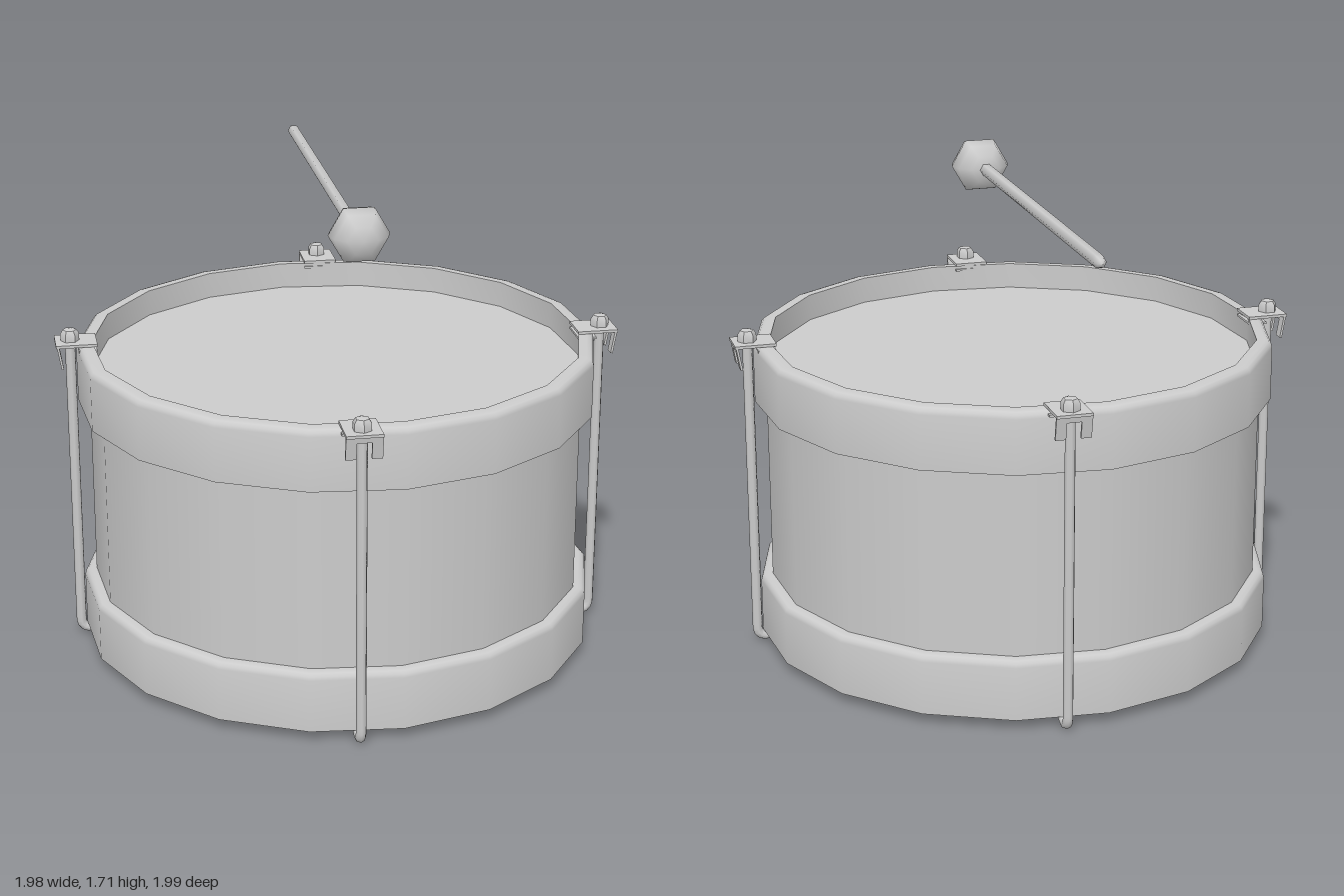
import * as THREE from 'three';
import { toCreasedNormals } from 'three/addons/utils/BufferGeometryUtils.js';

const SIDES = 18;
const TURN = THREE.MathUtils.degToRad(4.5);
const grey = new THREE.MeshStandardMaterial({ color: 0xcccccc });
const greyThin = new THREE.MeshStandardMaterial({ color: 0xcccccc, side: THREE.DoubleSide });

function add(parent, name, geometry, material = grey) {
  const mesh = new THREE.Mesh(geometry, material);
  mesh.name = name;
  parent.add(mesh);
  return mesh;
}

function lathe(points, sides, start = 0) {
  const profile = points.map(([r, y]) => new THREE.Vector2(r, y));
  return toCreasedNormals(new THREE.LatheGeometry(profile, sides, start), 0.65);
}

// Hoop with square lower edge and rounded upper edge
function hoopGeometry(y0, y1) {
  const outer = 0.92, inner = 0.865, b = 0.025;
  const points = [[inner, y0], [outer, y0]];
  for (let i = 0; i <= 3; i++) {
    const a = (i / 3) * Math.PI / 2;
    points.push([outer - b + b * Math.cos(a), y1 - b + b * Math.sin(a)]);
  }
  points.push([inner, y1], [inner, y0]);
  return lathe(points, SIDES, TURN);
}

// Tension rod with hook, nut and claw plate, built facing +z
function tensioner() {
  const group = new THREE.Group();
  group.name = 'tensioner';
  const R = 0.937, r = 0.018;

  // Rod, bent inwards under the lower hoop
  const path = new THREE.CurvePath();
  const v = (y, z) => new THREE.Vector3(0, y, z);
  path.add(new THREE.LineCurve3(v(1.15, R), v(0.06, R)));
  path.add(new THREE.QuadraticBezierCurve3(v(0.06, R), v(0.024, R), v(0.024, R - 0.035)));
  path.add(new THREE.LineCurve3(v(0.024, R - 0.035), v(0.035, R - 0.053)));
  add(group, 'rod', new THREE.TubeGeometry(path, 80, r, 8));
  add(group, 'rodEnd', new THREE.SphereGeometry(r, 8, 6)).position.set(0, 0.035, R - 0.053);

  // Claw plate: flat top with a short inner lip
  const top = add(group, 'clawTop', new THREE.BoxGeometry(0.122, 0.01, 0.145));
  top.position.set(0, 1.136, 0.917);
  const lip = add(group, 'clawLip', new THREE.BoxGeometry(0.122, 0.008, 0.065));
  lip.position.set(0, 1.115, 0.878);

  // Notched outer skirt, curling slightly inwards
  const shape = new THREE.Shape();
  [[-0.061, 0], [-0.061, -0.085], [-0.025, -0.085], [-0.025, -0.025],
    [0.025, -0.025], [0.025, -0.085], [0.061, -0.085], [0.061, 0]]
    .forEach(([x, y], i) => (i ? shape.lineTo(x, y) : shape.moveTo(x, y)));
  const skirtGeo = new THREE.ExtrudeGeometry(shape, { depth: 0.008, bevelEnabled: false });
  skirtGeo.rotateX(0.17);
  add(group, 'clawSkirt', skirtGeo).position.set(0, 1.138, 0.979);

  // Hexagonal nut with a domed tip
  const nut = add(group, 'nut', lathe(
    [[0, 0], [0.033, 0], [0.033, 0.026], [0.024, 0.04], [0, 0.046]], 6));
  nut.position.set(0, 1.14, R);
  return group;
}

export function createModel() {
  const model = new THREE.Group();
  model.name = 'drum';

  // Shell and the two recessed heads
  const shell = add(model, 'shell',
    new THREE.CylinderGeometry(0.878, 0.878, 0.88, SIDES, 1, true, TURN), greyThin);
  shell.position.y = 0.59;
  for (const [name, y] of [['topHead', 1.03], ['bottomHead', 0.15]]) {
    const head = add(model, name,
      toCreasedNormals(new THREE.CylinderGeometry(0.872, 0.872, 0.01, SIDES, 1, false, TURN), 0.65));
    head.position.y = y;
  }

  // Hoops
  add(model, 'topHoop', hoopGeometry(0.915, 1.13));
  add(model, 'bottomHoop', hoopGeometry(0.045, 0.26));

  // Four tensioners, each set a little off the axis
  for (let i = 0; i < 4; i++) {
    const pivot = new THREE.Group();
    pivot.name = 'tensionerMount' + (i + 1);
    const t = tensioner();
    t.position.x = -0.081;
    pivot.add(t);
    pivot.rotation.y = i * Math.PI / 2;
    model.add(pivot);
  }

  // Beater floating above the drum: six-sided stick and ball
  const beater = new THREE.Group();
  beater.name = 'beater';
  beater.position.y = 1.63;
  const stick = lathe(
    [[0, -1], [0.013, -0.994], [0.021, -0.975], [0.023, -0.95], [0.023, 0.4]], 6, Math.PI / 6);
  stick.computeVertexNormals();
  const smoothStick = new THREE.LatheGeometry(
    [[0, -1], [0.013, -0.994], [0.021, -0.975], [0.023, -0.95], [0.023, 0.4]]
      .map(([r, y]) => new THREE.Vector2(r, y)), 6, Math.PI / 6);
  add(beater, 'stick', smoothStick.rotateX(Math.PI / 2));
  const ball = add(beater, 'ball', new THREE.SphereGeometry(0.105, 6, 6).rotateX(Math.PI / 2));
  ball.scale.z = 0.9;
  ball.position.z = 0.425;
  model.add(beater);

  return model;
}
